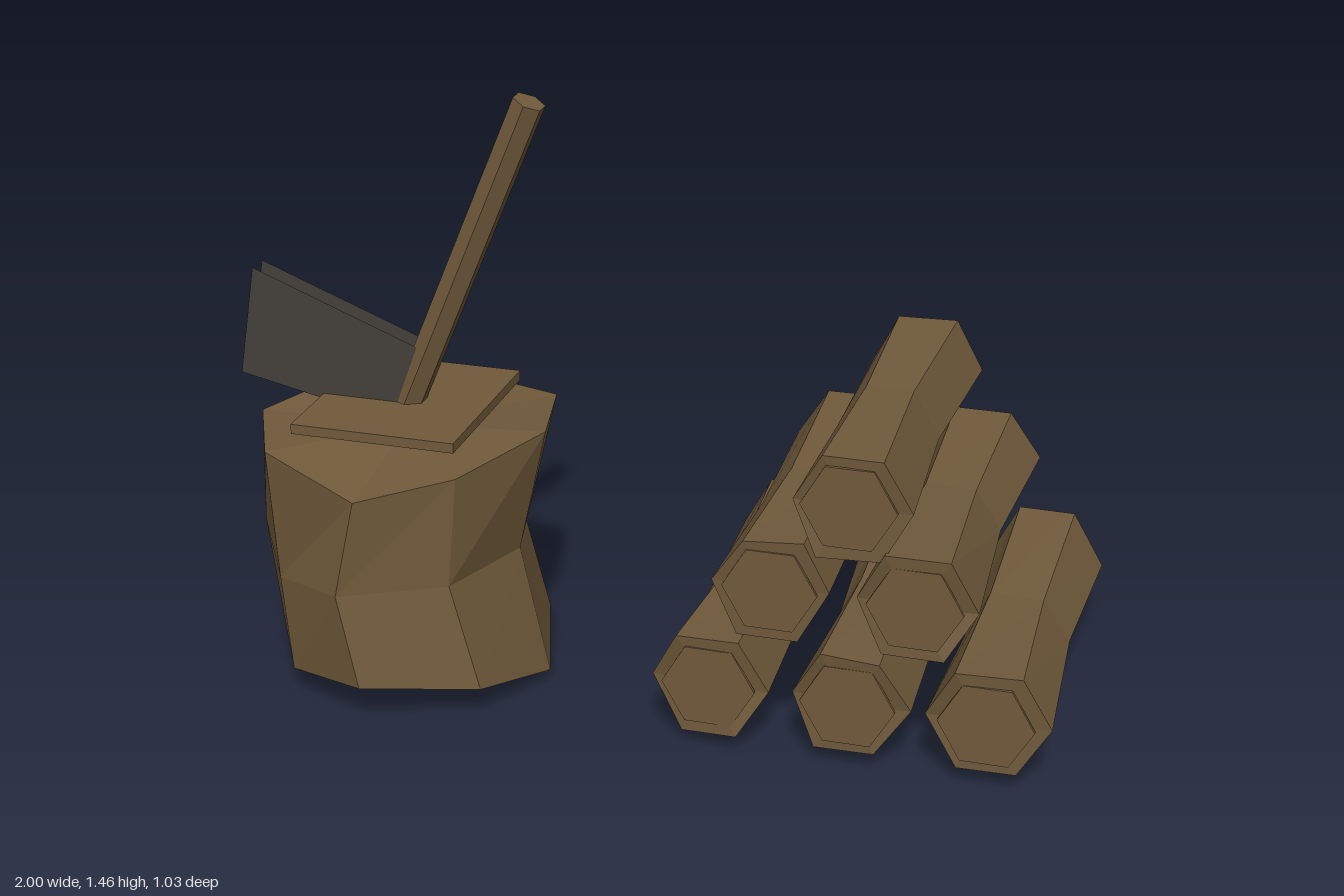
import * as THREE from 'three';

const wood = new THREE.MeshStandardMaterial({ color: 0x705a3b, flatShading: true });
wood.name = 'wood';
const metal = new THREE.MeshStandardMaterial({ color: 0x443f3b, flatShading: true, side: THREE.DoubleSide });
metal.name = 'dark metal';

// Skin a list of rings (counter-clockwise about the axis) and close both ends
function loft(rings) {
  const pos = [];
  const tri = (...pts) => pts.forEach((p) => pos.push(...p));
  const n = rings[0].length;
  for (let k = 0; k < rings.length - 1; k++) {
    for (let i = 0; i < n; i++) {
      const j = (i + 1) % n;
      const [a, b, c, d] = [rings[k][i], rings[k][j], rings[k + 1][j], rings[k + 1][i]];
      tri(a, b, c);
      tri(a, c, d);
    }
  }
  const middle = (ring) => [0, 1, 2].map((q) => ring.reduce((s, p) => s + p[q], 0) / n);
  const first = rings[0], last = rings[rings.length - 1];
  for (let i = 0; i < n; i++) {
    const j = (i + 1) % n;
    tri(middle(first), first[j], first[i]);
    tri(middle(last), last[i], last[j]);
  }
  const geo = new THREE.BufferGeometry();
  geo.setAttribute('position', new THREE.Float32BufferAttribute(pos, 3));
  geo.computeVertexNormals();
  return geo;
}

function add(parent, name, geo, mat) {
  const mesh = new THREE.Mesh(geo, mat);
  mesh.name = name;
  parent.add(mesh);
  return mesh;
}

// Seeded wobble for the rough-cut timber
let seed = 7;
const wobble = (s) => {
  seed = (seed * 16807) % 2147483647;
  return (seed / 2147483647 - 0.5) * 2 * s;
};

// Six-sided log with a narrower waist and a cut face at the front
function makeLog(x, y) {
  const log = new THREE.Group();
  log.name = 'log';
  const ring = (z, r, pull) => Array.from({ length: 6 }, (_, i) => {
    const a = (i * Math.PI) / 3;
    const side = i % 3 === 0 ? pull : 0;
    return [x + r * Math.cos(a) + wobble(0.008), y + r * Math.sin(a) + wobble(0.006), z + side + wobble(0.01)];
  });
  add(log, 'logBody', loft([ring(-0.5, 0.14, 0.005), ring(-0.06, 0.122, 0), ring(0.38, 0.14, -0.02)]), wood);
  const face = add(log, 'cutFace', new THREE.CylinderGeometry(0.11, 0.11, 0.008, 6), wood);
  face.geometry.rotateY(Math.PI / 6).rotateX(Math.PI / 2);
  face.position.set(x, y, 0.382);
  return log;
}

export function createModel() {
  const group = new THREE.Group();
  group.name = 'choppingBlockAndLogs';

  // Rough eight-sided stump: bottom, middle and top rings
  const stump = [
    [[-0.24, 0.02, 0.17], [-0.33, 0.05, -0.1], [-0.59, 0.06, -0.23], [-0.87, 0.05, -0.08],
      [-0.93, 0, 0.17], [-0.8, 0.07, 0.42], [-0.59, 0.1, 0.52], [-0.33, 0.08, 0.41]],
    [[-0.31, 0.34, 0.17], [-0.38, 0.32, -0.06], [-0.6, 0.31, -0.16], [-0.89, 0.33, -0.08],
      [-0.97, 0.33, 0.17], [-0.83, 0.3, 0.4], [-0.64, 0.33, 0.515], [-0.4, 0.34, 0.41]],
    [[-0.24, 0.65, 0.17], [-0.31, 0.62, -0.12], [-0.59, 0.62, -0.2], [-0.79, 0.66, -0.08],
      [-0.96, 0.62, 0.17], [-0.85, 0.62, 0.4], [-0.59, 0.57, 0.505], [-0.38, 0.61, 0.4]],
  ];
  add(group, 'stump', loft(stump), wood);

  // Square board on the stump
  add(group, 'board', new THREE.BoxGeometry(0.4, 0.024, 0.46), wood).position.set(-0.59, 0.677, 0.15);

  // Axe: leaning six-sided handle and two open blade cheeks
  const axe = new THREE.Group();
  axe.name = 'axe';
  group.add(axe);
  const foot = new THREE.Vector3(-0.615, 0.61, 0.157), tip = new THREE.Vector3(-0.26, 1.448, 0.18);
  const lean = tip.clone().sub(foot);
  const handle = add(axe, 'axeHandle', new THREE.CylinderGeometry(0.039, 0.039, lean.length(), 6), wood);
  handle.position.copy(foot).add(tip).multiplyScalar(0.5);
  handle.quaternion.setFromUnitVectors(new THREE.Vector3(0, 1, 0), lean.normalize());

  const cheek = new THREE.Shape([[-1, 0.72], [-0.62, 0.64], [-0.54, 0.83], [-0.955, 0.99]]
    .map(([x, y]) => new THREE.Vector2(x, y)));
  for (const z of [0.133, 0.187]) {
    add(axe, 'axeBladeCheek', new THREE.ShapeGeometry(cheek), metal).position.z = z;
  }

  // Pyramid of logs
  const pile = new THREE.Group();
  pile.name = 'logPile';
  group.add(pile);
  for (const [x, y] of [[0.215, 0.16], [0.54, 0.16], [0.855, 0.16], [0.355, 0.425], [0.685, 0.425], [0.53, 0.65]]) {
    pile.add(makeLog(x, y));
  }
  return group;
}
